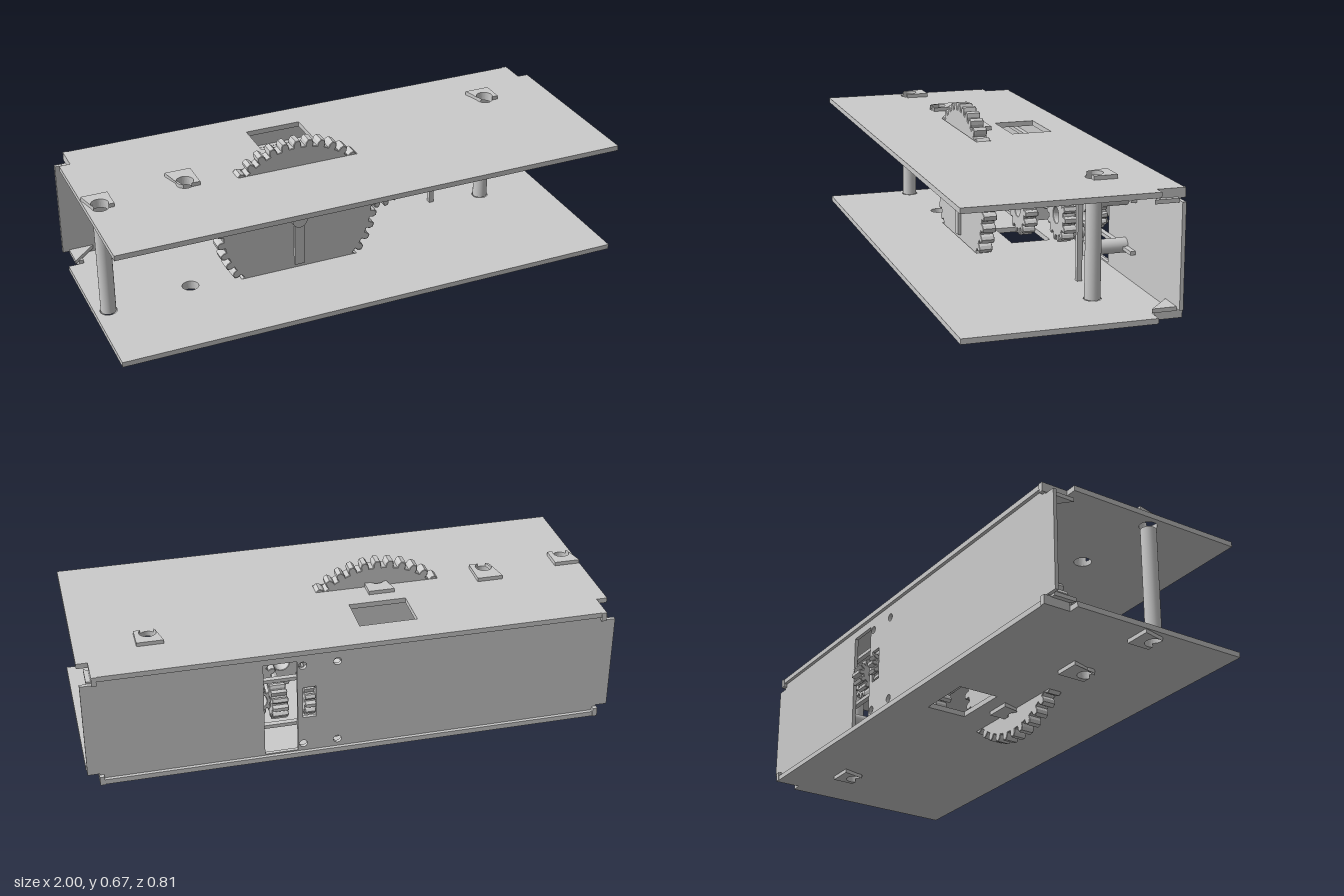
import * as THREE from 'three';

const mat = new THREE.MeshStandardMaterial({ color: 0xcccccc, side: THREE.DoubleSide });
const MID = 0.335; // height of the gear axles

export function createModel() {
  const model = new THREE.Group();

  const add = (name, geo, x = 0, y = 0, z = 0) => {
    const m = new THREE.Mesh(geo, mat);
    m.name = name;
    m.position.set(x, y, z);
    model.add(m);
    return m;
  };
  // box given by its extents
  const box = (name, x0, x1, y0, y1, z0, z1) =>
    add(name, new THREE.BoxGeometry(x1 - x0, y1 - y0, z1 - z0),
      (x0 + x1) / 2, (y0 + y1) / 2, (z0 + z1) / 2);
  const poly = (pts) => new THREE.Shape(pts.map(p => new THREE.Vector2(...p)));
  const rect = (x0, x1, y0, y1) => poly([[x0, y0], [x1, y0], [x1, y1], [x0, y1]]);
  const circle = (x, y, r) => new THREE.Path().absarc(x, y, r, 0, Math.PI * 2, true);
  const extrude = (shape, depth) =>
    new THREE.ExtrudeGeometry(shape, { depth, bevelEnabled: false, curveSegments: 16 });
  // horizontal slab: shape coordinates are (x, -z)
  const slab = (name, shape, y, h) => add(name, extrude(shape, h).rotateX(-Math.PI / 2), 0, y, 0);
  // cylinder along z
  const rodZ = (name, r, x, y, z0, z1) =>
    add(name, new THREE.CylinderGeometry(r, r, z1 - z0, 24).rotateX(Math.PI / 2), x, y, (z0 + z1) / 2);

  // pads: x centre, back z, front z, hole z
  const pads = [
    [-0.948, -0.005, 0.085, 0.068], [-0.615, -0.055, 0.058, 0.03],
    [-0.182, -0.055, 0.058, 0.03], [0.725, -0.222, -0.135, -0.155],
  ];

  // top and bottom plates with corner notches, gear slot, window and holes
  for (const top of [true, false]) {
    const side = top ? 'top' : 'bottom';
    const plate = poly([[-1, -0.41], [1, -0.41], [1, 0.29], [0.955, 0.29], [0.955, 0.392],
      [-0.955, 0.392], [-0.955, 0.29], [-1, 0.29]]);
    plate.holes.push(rect(-0.42, 0.06, -0.067, -0.008), rect(-0.26, -0.04, 0.11, 0.27));
    for (const [x, , , hz] of pads) if (x !== -0.182) plate.holes.push(circle(x, -hz, 0.032));
    slab(side + 'Plate', plate, top ? 0.545 : 0.105, 0.02);

    // raised pads notched around their holes
    for (const [x, z0, z1, hz] of pads) {
      const s = new THREE.Shape();
      const a = Math.asin(Math.min(0.95, (z1 - hz) / 0.032));
      s.moveTo(x - 0.05, -z1);
      s.absarc(x, -hz, 0.032, Math.PI + a, -a, true);
      s.lineTo(x + 0.05, -z1);
      s.lineTo(x + 0.05, -z0);
      s.lineTo(x - 0.05, -z0);
      slab(side + 'Pad', s, top ? 0.565 : 0.09, 0.015);
    }

    // corner blocks and gussets where the back wall meets the plates
    for (const s of [-1, 1]) {
      const x0 = Math.min(s * 0.94, s * 0.958), x1 = Math.max(s * 0.94, s * 0.958);
      box('cornerBlock', x0, x1, top ? 0.53 : 0.105, top ? 0.565 : 0.14, -0.395, -0.29);
      slab('cornerGusset', poly([[s * 0.88, 0.365], [s * 0.975, 0.365], [s * 0.975, 0.275]]),
        top ? 0.518 : 0.137, 0.015);
    }
  }

  // back wall with tall window, gear slot and screw holes
  const wall = poly([[-0.955, 0.125], [0.955, 0.125], [0.955, 0.145], [1, 0.145], [1, 0.525],
    [0.955, 0.525], [0.955, 0.545], [-0.955, 0.545], [-0.955, 0.525], [-1, 0.525],
    [-1, 0.145], [-0.955, 0.145]]);
  wall.holes.push(rect(0.22, 0.345, 0.13, 0.515), rect(0.15, 0.2, 0.27, 0.4));
  for (const x of [0.2, 0.07]) for (const y of [0.155, 0.495]) wall.holes.push(circle(x, y, 0.015));
  add('backWall', extrude(wall, 0.014), 0, 0, -0.379);

  // short standoffs on the wall
  for (const y of [0.183, 0.483]) {
    const ring = new THREE.Shape().absarc(0, 0, 0.028, 0, Math.PI * 2);
    ring.holes.push(circle(0, 0, 0.015));
    add('wallStandoff', extrude(ring, 0.045), 0.07, y, -0.365);
  }

  // upright posts between the plates
  for (const [x, , , z] of [pads[0], pads[3]])
    add('post', new THREE.CylinderGeometry(0.029, 0.029, 0.405, 24), x, 0.3275, z);

  // slim support strip with two horizontal pegs
  box('supportStrip', 0.5, 0.52, 0.125, 0.545, -0.194, -0.175);
  rodZ('upperPeg', 0.028, 0.51, 0.425, -0.365, -0.2);
  rodZ('upperPegHead', 0.042, 0.51, 0.425, -0.214, -0.194);
  rodZ('lowerPeg', 0.028, 0.51, 0.245, -0.365, -0.2);

  // wall rails and the open motor housing carried by them
  for (const y of [0.24, 0.435]) {
    box('rail', -0.83, 0.61, y - 0.007, y + 0.007, -0.365, -0.345);
    box('housingShelf', -0.34, 0.05, y - 0.006, y + 0.006, -0.345, -0.11);
  }
  for (const x of [-0.34, 0.038]) {
    const end = rect(0.11, 0.365, 0.24, 0.435);
    end.holes.push(circle(0.24, MID, 0.06));
    add('housingEnd', extrude(end, 0.012).rotateY(Math.PI / 2), x, 0, 0);
  }

  // gear with rounded teeth, centred on its own axis along z
  const gearGeo = (teeth, root, tip, bore, width) => {
    const s = new THREE.Shape();
    const step = Math.PI * 2 / teeth, bevel = 0.006;
    const prof = [[-0.5, root], [-0.27, root], [-0.25, root * 0.4 + tip * 0.6], [-0.13, tip],
      [0.13, tip], [0.25, root * 0.4 + tip * 0.6], [0.27, root]];
    for (let i = 0; i < teeth; i++) prof.forEach(([t, r], j) => {
      const a = (i + t) * step, rr = r - bevel * 0.5;
      s[i + j ? 'lineTo' : 'moveTo'](rr * Math.cos(a), rr * Math.sin(a));
    });
    s.closePath();
    if (bore) s.holes.push(circle(0, 0, bore));
    return new THREE.ExtrudeGeometry(s, {
      depth: width - 2 * bevel, bevelThickness: bevel, bevelSize: bevel * 0.5,
      bevelSegments: 2, curveSegments: 16,
    }).translate(0, 0, bevel - width / 2);
  };

  // large drive gear with its upright rib and hub
  add('driveGear', gearGeo(40, 0.307, 0.333, 0, 0.053), -0.182, MID, 0.037);
  box('driveGearRib', -0.202, -0.162, 0.14, 0.53, 0.06, 0.075);
  rodZ('driveGearHub', 0.03, -0.182, MID, -0.01, 0.08);

  // reduction gears and pinion
  add('middleGear', gearGeo(14, 0.078, 0.1, 0.032, 0.05), 0.22, MID, -0.07);
  add('rearGear', gearGeo(14, 0.078, 0.1, 0.032, 0.05), 0.355, MID, -0.175);
  add('pinion', gearGeo(10, 0.044, 0.06, 0.032, 0.075), 0.355, MID, -0.297);

  // crossways gears whose teeth show through the back wall
  for (const [x, w] of [[0.175, 0.04], [0.287, 0.06]])
    add('crossGear', gearGeo(12, 0.05, 0.068, 0.025, w).rotateY(Math.PI / 2), x, MID, -0.337);

  return model;
}
